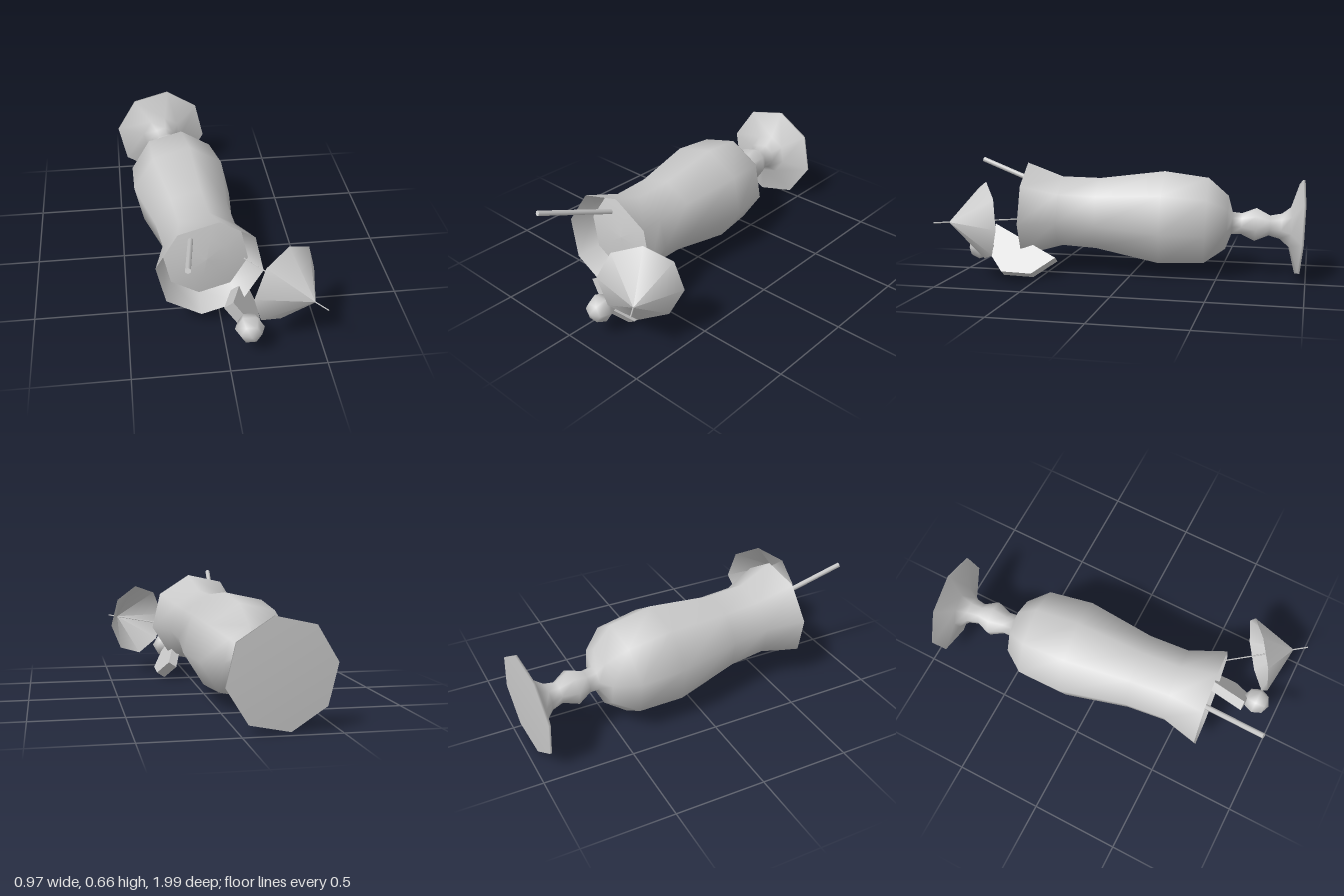
import * as THREE from 'three';

const V = (x, y, z) => new THREE.Vector3(x, y, z);
const material = new THREE.MeshStandardMaterial({ color: 0xcccccc, side: THREE.DoubleSide });

function mesh(name, geometry) {
  const m = new THREE.Mesh(geometry, material);
  m.name = name;
  return m;
}

// Places a y-axis geometry with its origin at `from`, its axis aimed at `to`
function aim(name, geometry, from, to, spin = 0) {
  const m = mesh(name, geometry.rotateX(Math.PI / 2).rotateZ(spin));
  m.position.copy(from);
  m.lookAt(to);
  return m;
}

function rod(name, from, to, radius, sides) {
  const length = from.distanceTo(to);
  const g = new THREE.CylinderGeometry(radius, radius, length, sides).translate(0, length / 2, 0);
  return aim(name, g, from, to);
}

const lathe = (points) =>
  new THREE.LatheGeometry(points.map(([r, h]) => new THREE.Vector2(r, h)), 8);

export function createModel() {
  const model = new THREE.Group();
  model.name = 'cocktail';

  // Glass lying on its side: foot at the back, rim at the front
  const foot = V(-0.205, 0.287, -0.965);
  const rim = V(-0.06, 0.367, 0.635);
  const tilt = -0.175;
  const shell = [
    [0, 0], [0.288, 0], [0.288, 0.012], [0.125, 0.06], [0.078, 0.115],
    [0.062, 0.18], [0.102, 0.26], [0.065, 0.34], [0.068, 0.395],
    [0.165, 0.425], [0.265, 0.545], [0.288, 0.8], [0.222, 1.175],
    [0.217, 1.4], [0.288, 1.608],
  ];
  model.add(aim('glass', lathe(shell), foot, rim, tilt));
  model.add(aim('innerWall', lathe([[0.288, 1.608], [0.232, 1.49]]), foot, rim, tilt));
  model.add(aim('drink', lathe([[0.232, 1.49], [0.12, 1.51], [0, 1.517]]), foot, rim, tilt));

  // Drinking straw
  model.add(rod('straw', V(-0.148, 0.475, 0.5), V(-0.205, 0.645, 0.97), 0.015, 6));

  // Half fruit slice hooked over the rim: outline in (along slice, z)
  const outline = [[-0.15, 0.81], [0.03, 0.82], [0.15, 0.72], [0.155, 0.54], [0.05, 0.41]];
  const shape = new THREE.Shape(outline.map(([u, z]) => new THREE.Vector2(u, z)));
  const sliceGeometry = new THREE.ExtrudeGeometry(shape, { depth: 0.056, bevelEnabled: false })
    .translate(0, 0, -0.028);
  const along = V(0.555, -0.832, 0);
  const forward = V(0, 0, 1);
  sliceGeometry.applyMatrix4(
    new THREE.Matrix4().makeBasis(along, forward, along.clone().cross(forward)));
  const slice = mesh('fruitSlice', sliceGeometry);
  slice.position.set(0.095, 0.146, 0);
  model.add(slice);

  // Cherry
  const cherry = mesh('cherry', new THREE.SphereGeometry(0.077, 6, 4).rotateX(Math.PI / 2));
  cherry.position.set(0.113, 0.163, 0.87);
  model.add(cherry);

  // Paper parasol and its pick
  const canopyBase = V(0.305, 0.35, 0.765);
  const canopyTip = V(0.425, 0.355, 0.93);
  const height = canopyBase.distanceTo(canopyTip);
  const canopy = new THREE.ConeGeometry(0.223, height, 8, 1, true).translate(0, height / 2, 0);
  model.add(aim('parasolCanopy', canopy, canopyBase, canopyTip, -0.09));
  model.add(rod('parasolPick', V(0.13, 0.343, 0.53), V(0.475, 0.357, 0.998), 0.004, 4));

  return model;
}
